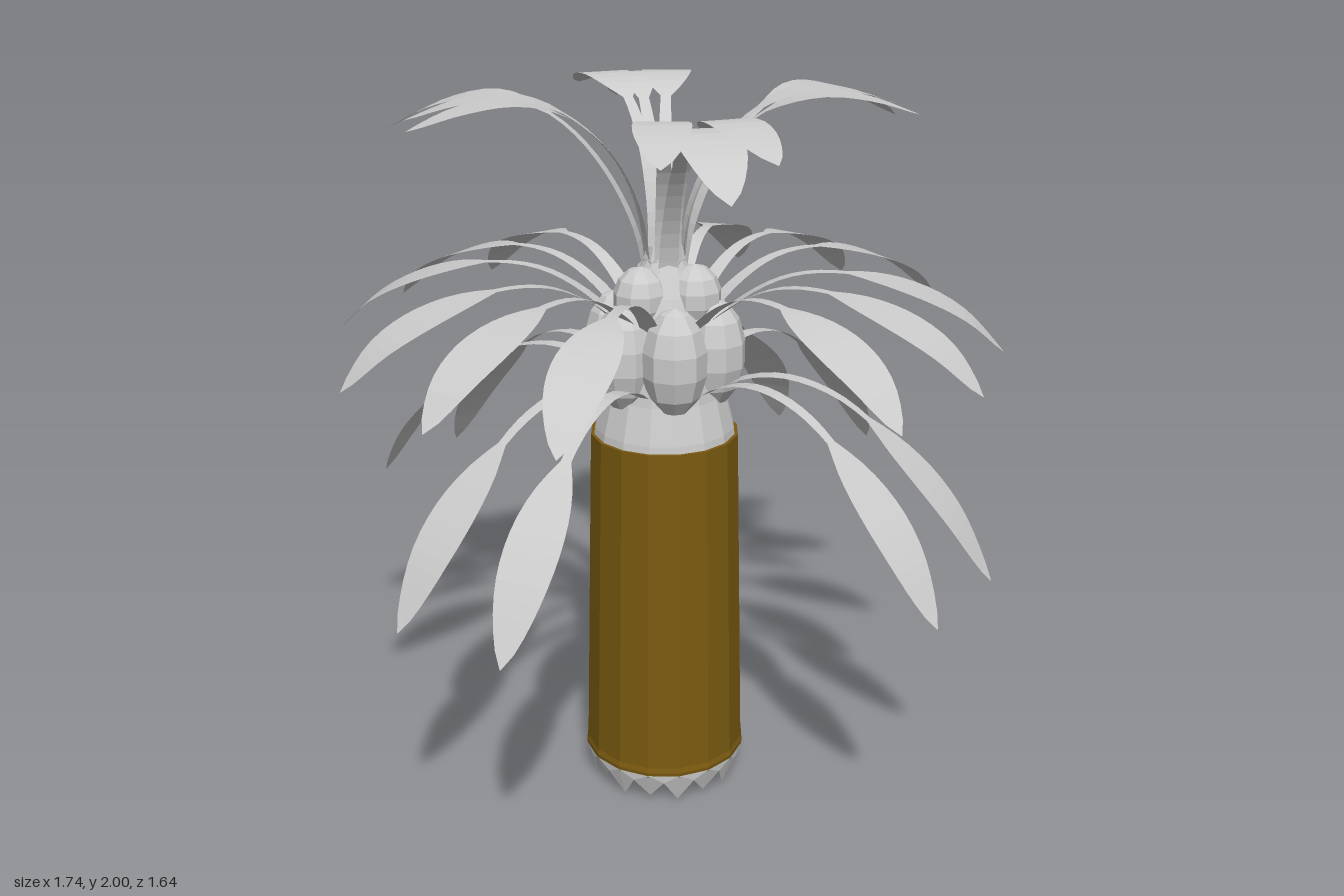
import * as THREE from 'three';

const grey = new THREE.MeshStandardMaterial({ color: 0xcccccc, flatShading: true });
const greyThin = new THREE.MeshStandardMaterial({ color: 0xcccccc, flatShading: true, side: THREE.DoubleSide });
const brown = new THREE.MeshStandardMaterial({ color: 0x7a5a10, flatShading: true, side: THREE.DoubleSide });

function addMesh(parent, name, geometry, material) {
  const mesh = new THREE.Mesh(geometry, material);
  mesh.name = name;
  parent.add(mesh);
  return mesh;
}

// Flat paddle-shaped frond swept along a radial path of [radius, height] points
function frondGeometry(path, bladeStart, bladeHalf) {
  const curve = new THREE.CatmullRomCurve3(path.map(([r, y]) => new THREE.Vector3(r, y, 0)));
  const steps = 26, pos = [], index = [];
  for (let i = 0; i <= steps; i++) {
    const t = i / steps, p = curve.getPointAt(t);
    const stalk = 0.03 - 0.016 * Math.min(1, t / bladeStart);
    const u = Math.max(0, (t - bladeStart) / (1 - bladeStart));
    const blade = bladeHalf * Math.pow(Math.sin(Math.PI * Math.pow(u, 0.9)), 0.7);
    const half = t === 1 ? 0.001 : Math.max(u < 0.5 ? stalk : 0, blade || 0);
    pos.push(p.x, p.y, half, p.x, p.y, -half);
    if (i < steps) {
      const a = i * 2;
      index.push(a, a + 2, a + 1, a + 1, a + 2, a + 3);
    }
  }
  const g = new THREE.BufferGeometry();
  g.setAttribute('position', new THREE.Float32BufferAttribute(pos, 3));
  g.setIndex(index);
  g.computeVertexNormals();
  return g;
}

// Ring of folded, pointed teeth hanging below the trunk
function teethGeometry(count) {
  const pos = [];
  const at = (a, r, y) => [r * Math.sin(a), y, r * Math.cos(a)];
  for (let i = 0; i < count; i++) {
    const step = (Math.PI * 2) / count, a = i * step;
    const left = at(a - step / 2, 0.228, 0.07), right = at(a + step / 2, 0.228, 0.07);
    const topL = at(a - step / 2, 0.23, 0.095), topR = at(a + step / 2, 0.23, 0.095);
    const ridge = at(a, 0.234, 0.095), tip = at(a, 0.205, i % 2 ? 0.012 : 0);
    pos.push(...topL, ...left, ...ridge, ...left, ...tip, ...ridge);
    pos.push(...ridge, ...tip, ...right, ...ridge, ...right, ...topR);
  }
  const g = new THREE.BufferGeometry();
  g.setAttribute('position', new THREE.Float32BufferAttribute(pos, 3));
  g.computeVertexNormals();
  return g;
}

export function createModel() {
  const model = new THREE.Group();
  model.name = 'palmTree';

  // Hollow trunk with a thin lip at the bottom
  const trunkProfile = [[0.233, 0.09], [0.235, 0.105], [0.231, 0.12], [0.207, 1.08], [0.19, 1.08]];
  addMesh(model, 'trunk', new THREE.LatheGeometry(trunkProfile.map((p) => new THREE.Vector2(...p)), 16), brown);
  addMesh(model, 'trunkTeeth', teethGeometry(16), greyThin);

  // Crown core
  const coreProfile = [[0.2, 1.06], [0.195, 1.1], [0.17, 1.2], [0.15, 1.35], [0.1, 1.48], [0.05, 1.58], [0, 1.6]];
  addMesh(model, 'crownCore', new THREE.LatheGeometry(coreProfile.map((p) => new THREE.Vector2(...p)), 16), grey);

  // Faceted nuts: a lower ring, an upper ring and one on top
  const nuts = new THREE.Group();
  nuts.name = 'nuts';
  model.add(nuts);
  const nutShape = new THREE.SphereGeometry(1, 9, 7);
  const addNut = (angle, r, y, width, height) => {
    const nut = addMesh(nuts, 'nut', nutShape, grey);
    nut.position.set(r * Math.sin(angle), y, r * Math.cos(angle));
    nut.rotation.y = angle;
    nut.scale.set(width, height, width);
  };
  for (let i = 0; i < 6; i++) {
    const a = (i * Math.PI) / 3;
    addNut(a, 0.14, 1.32, 0.09, 0.15);
    if (i % 2 === 0) addNut(a + Math.PI / 3, 0.085, 1.47, 0.075, 0.09);
  }
  addNut(0, 0, 1.55, 0.06, 0.09);

  // Fronds: three tiers; directions are degrees from the left side towards the front
  const mirrored = (list) => list.flatMap((d) => [d, 180 - d, 180 + d, -d]);
  const tiers = [
    {
      name: 'lowerFrond', start: 0.5, half: 0.075, angles: mirrored([35, 55]),
      path: [[0.1, 1.17], [0.2, 1.25], [0.34, 1.285], [0.5, 1.25], [0.67, 1.13], [0.82, 0.98], [0.94, 0.8]],
    },
    {
      name: 'middleFrond', start: 0.5, half: 0.08, angles: mirrored([17.5, 41.5, 64]),
      path: [[0.08, 1.34], [0.2, 1.46], [0.33, 1.53], [0.47, 1.545], [0.65, 1.51], [0.8, 1.44], [0.91, 1.34]],
    },
    {
      name: 'upperFrond', start: 0.57, half: 0.07, angles: mirrored([7, 78.5]),
      path: [[0.04, 1.45], [0.07, 1.7], [0.15, 1.86], [0.27, 1.96], [0.4, 1.998], [0.53, 1.985], [0.67, 1.94]],
    },
    {
      name: 'longUpperFrond', start: 0.55, half: 0.08, angles: [90, -90, -21, 201],
      path: [[0.04, 1.45], [0.08, 1.65], [0.18, 1.83], [0.3, 1.94], [0.45, 1.99], [0.6, 1.965], [0.77, 1.88]],
    },
  ];
  for (const tier of tiers) {
    const group = new THREE.Group();
    group.name = tier.name + 's';
    model.add(group);
    const g = frondGeometry(tier.path, tier.start, tier.half);
    for (const deg of tier.angles) {
      addMesh(group, tier.name, g, greyThin).rotation.y = -THREE.MathUtils.degToRad(deg);
    }
  }
  return model;
}
